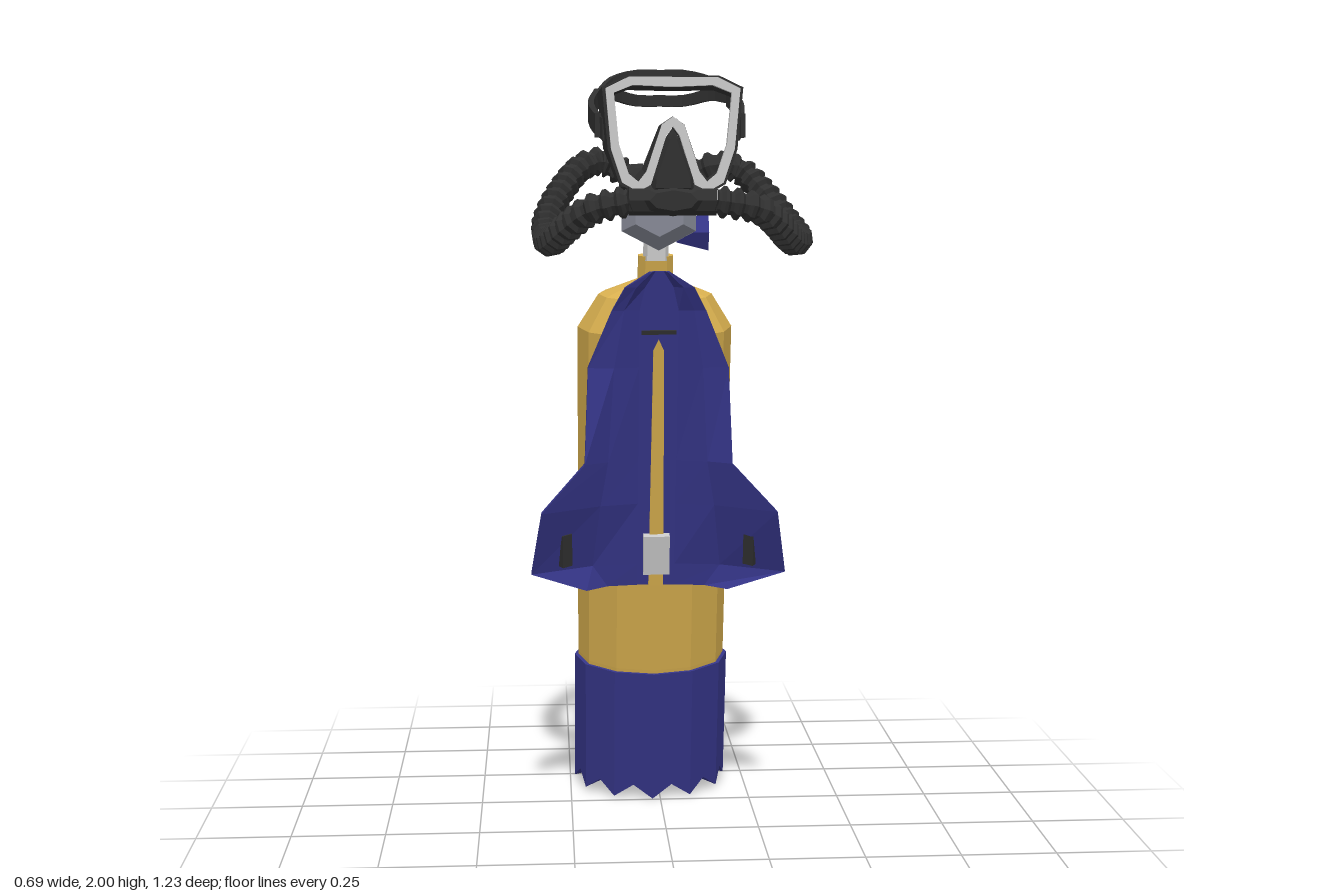
import * as THREE from 'three';

const V = (x, y, z) => new THREE.Vector3(x, y, z);
const mat = (name, color) => {
  const m = new THREE.MeshStandardMaterial({ color, flatShading: true });
  m.name = name;
  return m;
};

// Joins rings of points (even count, counter-clockwise about the loft direction) into a capped solid
function loft(rings) {
  const n = rings[0].length, idx = [], last = (rings.length - 1) * n;
  for (let i = 0; i < rings.length - 1; i++)
    for (let j = 0; j < n; j++) {
      const a = i * n + j, b = i * n + (j + 1) % n;
      idx.push(a, b, b + n, a, b + n, a + n);
    }
  for (let j = 0; j < n / 2 - 1; j++) {
    const q = [j, j + 1, n - 2 - j, n - 1 - j];
    idx.push(q[0], q[2], q[1], q[0], q[3], q[2]);
    const t = q.map(k => k + last);
    idx.push(t[0], t[1], t[2], t[0], t[2], t[3]);
  }
  const g = new THREE.BufferGeometry().setFromPoints(rings.flat());
  g.setIndex(idx);
  g.computeVertexNormals();
  return g;
}

// Flat upright band swept along a smooth path
function ribbon(points, h0, h1, thick, steps = 10) {
  const curve = new THREE.CatmullRomCurve3(points), rings = [];
  for (let i = 0; i <= steps; i++) {
    const p = curve.getPointAt(i / steps), t = curve.getTangentAt(i / steps);
    const n = V(0, 1, 0).cross(t).negate().normalize();
    const h = THREE.MathUtils.lerp(h0, h1, i / steps) / 2;
    rings.push([[1, 1], [-1, 1], [-1, -1], [1, -1]].map(([u, s]) =>
      p.clone().add(V(0, u * h, 0)).addScaledVector(n, s * thick / 2)));
  }
  return loft(rings);
}

// Ribbed hose: a tube whose rings alternate between two radii
function hoseGeometry(points) {
  const curve = new THREE.CatmullRomCurve3(points), N = 108, sides = 8;
  const g = new THREE.TubeGeometry(curve, N, 1, sides), pos = g.attributes.position;
  for (let i = 0; i <= N; i++) {
    const c = curve.getPointAt(i / N), r = i % 4 < 2 ? 0.037 : 0.027;
    for (let j = 0; j <= sides; j++) {
      const k = i * (sides + 1) + j;
      const p = V().fromBufferAttribute(pos, k).sub(c).multiplyScalar(r).add(c);
      pos.setXYZ(k, p.x, p.y, p.z);
    }
  }
  return g;
}

const mirrored = half => [...half, ...half.slice().reverse().filter(p => p[0] > 0).map(([x, y]) => [-x, y])];
const v2 = list => list.map(([x, y]) => new THREE.Vector2(x, y));

export function createModel() {
  const yellow = mat('tankYellow', 0xd9b04f), blue = mat('deepBlue', 0x36368a);
  const black = mat('rubberBlack', 0x303030), grey = mat('regulatorGrey', 0x858894);
  const silver = mat('lightGrey', 0xcacaca);
  const root = new THREE.Group();
  root.name = 'divingSet';
  const body = new THREE.Group();
  body.name = 'equipment';
  body.position.x = -0.022;
  root.add(body);
  const add = (name, geo, m, p = [0, 0, 0], parent = body) => {
    const mesh = new THREE.Mesh(geo, m);
    mesh.name = name;
    mesh.position.set(...p);
    parent.add(mesh);
    return mesh;
  };
  const box = (...s) => new THREE.BoxGeometry(...s);

  // Leaning oval tank
  const lean = new THREE.Matrix4().makeBasis(V(1, 0, 0), V(0, 0.977, 0.215), V(0, -0.105, 0.99)).setPosition(0, 0.02, -0.435);
  const turn = (pts, sides = 12) => new THREE.LatheGeometry(v2(pts), sides);
  const leaning = g => g.scale(1, 1, 0.84).applyMatrix4(lean);
  add('tank', leaning(turn([[0.2, 0.3], [0.205, 0.4], [0.205, 1.355], [0.15, 1.445], [0.05, 1.485], [0, 1.485]])), yellow);
  add('tankNeck', leaning(turn([[0.048, 1.45], [0.048, 1.55], [0, 1.55]], 10)), yellow);

  // Boot with a pleated foot
  const boot = turn([[0, 0.05], [0.215, 0], [0.215, 0.39], [0.2, 0.39]], 24), bp = boot.attributes.position;
  for (let i = 0; i <= 24; i++) if (i % 2)
    for (let j = 0; j < 4; j++) {
      const k = i * 4 + j, c = Math.cos(Math.PI / 12);
      bp.setXYZ(k, bp.getX(k) * c, bp.getY(k) + (j === 1 ? 0.04 : 0), bp.getZ(k) * c);
    }
  add('boot', leaning(boot), blue);

  // Band around the tank with side clips
  add('tankBand', leaning(turn([[0.2, 0.71], [0.216, 0.71], [0.216, 0.815], [0.2, 0.815]])), silver);
  for (const s of [-1, 1]) add('bandClip', box(0.05, 0.09, 0.045).translate(s * 0.232, 0.76, 0).applyMatrix4(lean), silver);

  // Back plate: y, then half width and forward offset for the middle and the edge
  const rows = [
    [0.65, 0.13, 0.015, 0.187, 0.07], [0.71, 0.17, 0.02, 0.333, 0.125], [0.88, 0.15, 0.035, 0.305, 0.15],
    [1.0, 0.13, 0.03, 0.192, 0.075], [1.25, 0.115, 0.015, 0.182, 0.005], [1.4, 0.09, 0.01, 0.12, 0.01],
    [1.46, 0.06, 0.022, 0.088, 0.026], [1.5, 0.018, 0.022, 0.025, 0.022]];
  const plateZ = y => -0.105 + 0.22 * (y - 0.65);
  add('backPlate', loft(rows.map(([y, m, dm, e, de]) => {
    const c = Math.min(0.05, m * 0.6), z = plateZ(y);
    const front = [[-e, de], [-m, dm], [-c, 0], [c, 0], [m, dm], [e, de]].map(([x, d]) => V(x, y, z + d));
    return [...front, ...front.slice().reverse().map(p => V(p.x, y, p.z - 0.032))];
  })), blue);

  // Plate trim
  const trim = new THREE.Group();
  trim.name = 'plateTrim';
  trim.position.set(0, 0.65, -0.105);
  trim.rotation.x = Math.atan(0.22);
  body.add(trim);
  const stripe = new THREE.Shape(v2([[-0.02, 0], [0.02, 0], [0.014, 0.66], [0, 0.69], [-0.014, 0.66]]));
  add('centreStripe', new THREE.ExtrudeGeometry(stripe, { depth: 0.007, bevelEnabled: false }), yellow, [0, 0, 0], trim);
  add('buckle', box(0.07, 0.11, 0.025), silver, [0, 0.095, 0.012], trim);
  add('topSlot', box(0.09, 0.01, 0.008), black, [0, 0.71, 0.003], trim);
  for (const s of [-1, 1]) {
    const slot = add('wingSlot', box(0.03, 0.09, 0.044), black, [s * 0.25, 0.77, -0.01]);
    slot.rotation.set(0.2, -s * 0.6, 0);
  }

  // Valve and yoke
  add('valvePost', new THREE.CylinderGeometry(0.03, 0.034, 0.14, 8), silver, [0, 1.59, -0.085]);
  add('valveStem', new THREE.CylinderGeometry(0.016, 0.016, 0.07, 8).rotateZ(Math.PI / 2), silver, [0.04, 1.595, -0.08]);
  add('valveKnob', new THREE.CylinderGeometry(0.055, 0.032, 0.08, 6).rotateZ(-Math.PI / 2), blue, [0.095, 1.595, -0.08]);
  for (const s of [-1, 1]) add('yokeArm', box(0.02, 0.055, 0.1), grey, [s * 0.045, 1.67, -0.05]);
  add('yokeBar', box(0.09, 0.055, 0.025), grey, [0, 1.67, -0.1]);
  add('yokeScrew', new THREE.CylinderGeometry(0.016, 0.027, 0.04, 6).rotateX(Math.PI / 2), blue, [0, 1.668, -0.135]);

  // Regulator
  add('regulator', new THREE.CylinderGeometry(0.07, 0.11, 0.035, 6).rotateX(Math.PI / 2).scale(1, 0.9, 1), grey, [0, 1.65, 0.06]);
  add('regulatorRear', new THREE.CylinderGeometry(0.11, 0.07, 0.06, 6).rotateX(Math.PI / 2).scale(1, 0.9, 1), grey, [0, 1.65, 0.013]);
  for (const s of [-1, 1])
    add('hoseSocket', new THREE.CylinderGeometry(0.032, 0.036, 0.06, 8).rotateZ(Math.PI / 2), black, [s * 0.07, 1.735, s > 0 ? 0.065 : 0.035]);

  // Ribbed breathing hoses
  const left = [[0.07, 1.735, 0.065], [0.14, 1.765, 0.095], [0.2, 1.755, 0.08], [0.255, 1.7, 0.13], [0.305, 1.63, 0.21],
    [0.325, 1.59, 0.29], [0.295, 1.59, 0.38], [0.255, 1.625, 0.47], [0.2, 1.665, 0.54], [0.09, 1.685, 0.57]];
  const right = [[-0.07, 1.735, 0.035], [-0.14, 1.775, 0.02], [-0.19, 1.765, 0.045], [-0.25, 1.7, 0.12], [-0.285, 1.63, 0.21],
    [-0.285, 1.59, 0.29], [-0.27, 1.59, 0.39], [-0.235, 1.625, 0.48], [-0.18, 1.665, 0.545], [-0.09, 1.685, 0.57]];
  add('leftHose', hoseGeometry(left.map(p => V(...p))), black);
  add('rightHose', hoseGeometry(right.map(p => V(...p))), black);

  // Mouthpiece
  add('mouthpiece', new THREE.CylinderGeometry(0.034, 0.034, 0.2, 8).rotateZ(Math.PI / 2), black, [0, 1.685, 0.568]);
  add('mouthCover', new THREE.CylinderGeometry(0.055, 0.085, 0.03, 8).rotateX(Math.PI / 2).scale(1, 0.42, 1), black, [0, 1.685, 0.598]);

  // Mask frame and flared skirt, both open
  const outer = mirrored([[0, 1.85], [0.015, 1.83], [0.05, 1.72], [0.08, 1.705], [0.115, 1.725], [0.14, 1.8], [0.152, 1.935], [0.1, 1.96], [0, 1.96]]);
  const inner = mirrored([[0, 1.872], [0.025, 1.855], [0.06, 1.75], [0.078, 1.727], [0.1, 1.745], [0.122, 1.81], [0.133, 1.925], [0.09, 1.942], [0, 1.938]]);
  const ring = depth => {
    const s = new THREE.Shape(v2(outer));
    s.holes.push(new THREE.Path(v2(inner)));
    return new THREE.ExtrudeGeometry(s, { depth, bevelEnabled: false });
  };
  add('maskFrame', ring(0.022), silver, [0, 0, 0.563]);
  const skirt = ring(0.11), sp = skirt.attributes.position;
  for (let i = 0; i < sp.count; i++) {
    const x = sp.getX(i), y = sp.getY(i), back = sp.getZ(i) < 0.05;
    sp.setXYZ(i, x * (back ? 1.1 : 1.05), 1.84 + (y - 1.84) * (back ? 0.93 : 1.03),
      back ? 0.455 + 0.06 * (1 - Math.abs(x) / 0.15) : 0.572);
  }
  skirt.computeVertexNormals();
  add('maskSkirt', skirt, black);
  const nose = new THREE.Shape(v2(mirrored([[0, 1.705], [0.048, 1.705], [0.046, 1.735], [0.014, 1.825], [0, 1.845]])));
  add('nosePocket', new THREE.ExtrudeGeometry(nose, { depth: 0.06, bevelSize: 0.008, bevelOffset: -0.008, bevelThickness: 0.02, bevelSegments: 1 }), black, [0, 0, 0.52]);

  // Head strap, splitting in two behind the head
  for (const s of [-1, 1]) {
    add('strapSide', ribbon([V(s * 0.15, 1.845, 0.52), V(s * 0.17, 1.865, 0.42), V(s * 0.178, 1.895, 0.32), V(s * 0.16, 1.928, 0.23)], 0.05, 0.042, 0.014), black);
    add('strapBuckle', box(0.022, 0.055, 0.05), black, [s * 0.162, 1.855, 0.47]);
  }
  const rear = (y, z) => [V(-0.16, 1.928, 0.23), V(-0.12, (y + 1.95) / 2, 0.155), V(-0.06, y, z + 0.01), V(0, y, z),
    V(0.06, y, z + 0.01), V(0.12, (y + 1.95) / 2, 0.155), V(0.16, 1.928, 0.23)];
  add('strapUpper', ribbon(rear(1.986, 0.105), 0.028, 0.028, 0.012, 16), black);
  add('strapLower', ribbon(rear(1.925, 0.09), 0.028, 0.028, 0.012, 16), black);
  return root;
}
